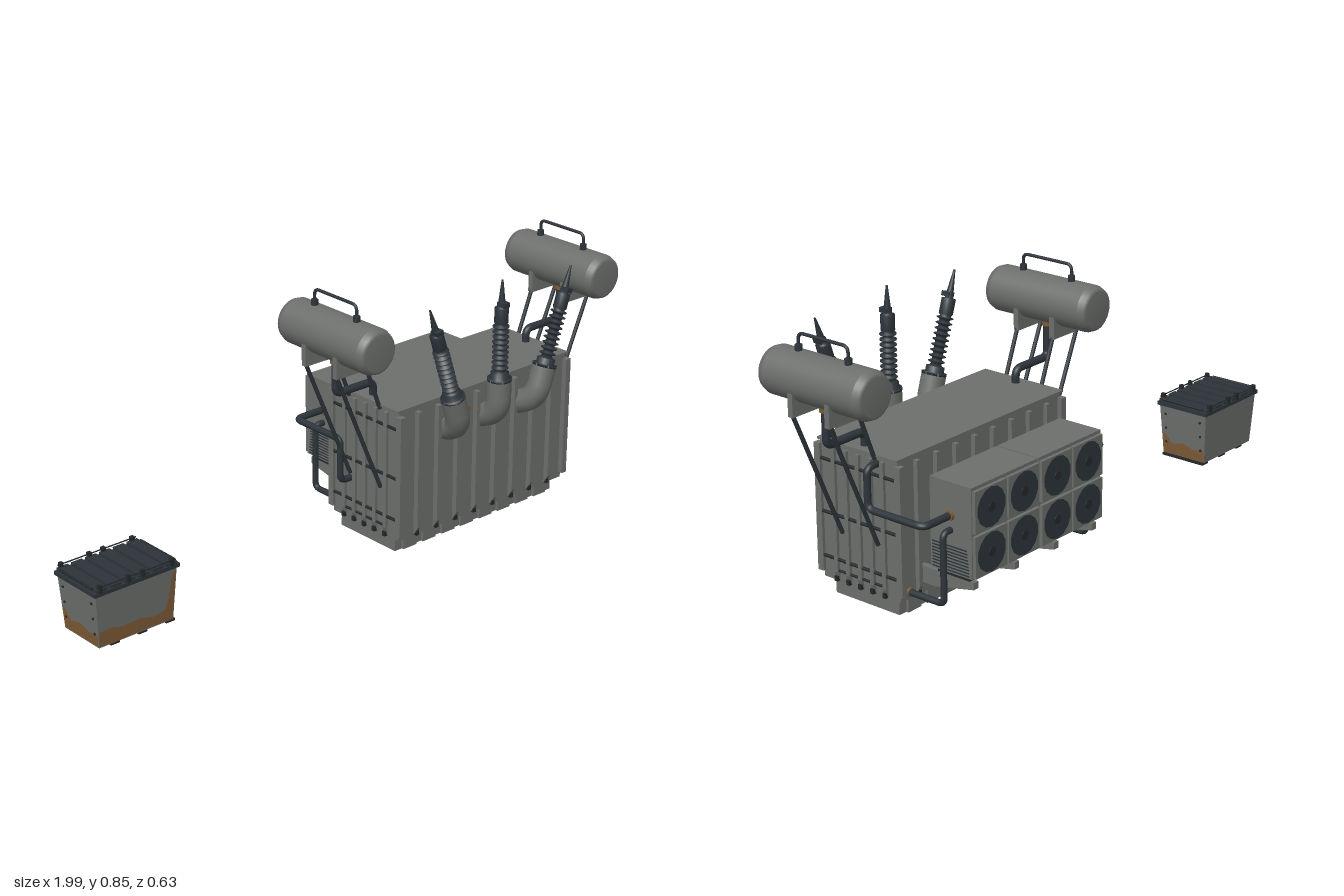
import * as THREE from 'three';

const mat = (name, color) => Object.assign(new THREE.MeshStandardMaterial({ color }), { name });
const V = (x, y, z) => new THREE.Vector3(x, y, z);

export function createModel() {
  const root = new THREE.Group();
  root.name = 'transformerAndCrate';
  const grey = mat('paintedGrey', 0x6c6f6c);
  const dark = mat('darkSteel', 0x2d343a);
  const black = mat('shadowBlack', 0x24282a);
  const rust = mat('rustBrown', 0x7d5a35);
  rust.side = THREE.DoubleSide;

  const add = (name, geo, material, parent = root) => {
    const m = new THREE.Mesh(geo, material);
    m.name = name;
    parent.add(m);
    return m;
  };
  // box given by its minimum and maximum corners
  const box = (name, x0, x1, y0, y1, z0, z1, material, parent) => {
    const g = new THREE.BoxGeometry(x1 - x0, y1 - y0, z1 - z0);
    g.translate((x0 + x1) / 2, (y0 + y1) / 2, (z0 + z1) / 2);
    return add(name, g, material, parent);
  };
  // straight round bar between two points
  const bar = (name, a, b, r, material, parent, r2 = r) => {
    const m = add(name, new THREE.CylinderGeometry(r2, r, a.distanceTo(b), 14), material, parent);
    m.position.copy(a).lerp(b, 0.5);
    m.quaternion.setFromUnitVectors(V(0, 1, 0), b.clone().sub(a).normalize());
    return m;
  };
  // pipe with rounded bends
  const pipe = (name, pts, r, bend, material, parent) => {
    const path = new THREE.CurvePath();
    let from = pts[0];
    for (let i = 1; i < pts.length - 1; i++) {
      const p = pts[i];
      const a = p.clone().add(pts[i - 1].clone().sub(p).setLength(bend));
      const b = p.clone().add(pts[i + 1].clone().sub(p).setLength(bend));
      path.add(new THREE.LineCurve3(from, a));
      path.add(new THREE.QuadraticBezierCurve3(a, p, b));
      from = b;
    }
    path.add(new THREE.LineCurve3(from, pts[pts.length - 1]));
    return add(name, new THREE.TubeGeometry(path, 80, r, 12), material, parent);
  };

  // Tank, lid and plinth
  const CX = 0.432;
  box('tankBody', 0.07, 0.794, 0.05, 0.485, -0.09, 0.21, grey);
  box('tankLid', 0.06, 0.804, 0.483, 0.49, -0.095, 0.213, grey);
  box('plinth', 0.085, 0.779, 0, 0.05, -0.07, 0.18, grey);

  // Wall ribs with a slanted foot and a dark boot
  const rib = (x, z, angle, depth) => {
    const g = new THREE.Group();
    g.name = 'wallRib';
    const geo = new THREE.BoxGeometry(0.014, 0.42, depth);
    const p = geo.attributes.position;
    for (let i = 0; i < p.count; i++) if (p.getY(i) < 0 && p.getZ(i) > 0) p.setY(i, -0.18);
    geo.computeVertexNormals();
    add('ribBar', geo, grey, g).position.set(0, 0.26, depth / 2);
    box('ribBoot', -0.006, 0.006, 0.052, 0.068, 0, 0.012, black, g);
    g.position.set(x, 0, z);
    g.rotation.y = angle;
    root.add(g);
  };
  for (let i = 0; i < 8; i++) {
    const x = CX + (i - 3.5) * 0.083;
    rib(x, 0.21, 0, 0.018);
    rib(x, -0.09, Math.PI, 0.015);
    box('plinthLug', x - 0.028, x + 0.028, 0, 0.045, -0.078, 0.188, grey);
  }
  for (let i = 0; i < 5; i++) {
    const z = 0.155 - i * 0.0475;
    rib(0.794, z, Math.PI / 2, 0.01);
    rib(0.07, z, -Math.PI / 2, 0.01);
  }
  // Corner posts and horizontal stiffener rods on the end walls
  for (const s of [-1, 1]) {
    const x = CX + s * 0.362;
    for (const z of [-0.096, 0.215]) box('cornerPost', x - 0.01, x + 0.01, 0.07, 0.47, z - 0.01, z + 0.012, grey);
    for (const y of [0.12, 0.26, 0.425]) bar('stiffenerRod', V(x + s * 0.004, y, -0.1), V(x + s * 0.004, y, 0.22), 0.005, black);
    bar('lowerRod', V(x + s * 0.004, 0.085, -0.03), V(x + s * 0.004, 0.085, 0.15), 0.004, black);
  }
  box('ratingPlate', 0.34, 0.37, 0.405, 0.422, 0.209, 0.212, rust);

  // Bushings: elbow turret, ribbed insulator and tip
  for (const s of [-1, 0, 1]) {
    const g = new THREE.Group();
    g.name = 'bushing';
    g.position.set(CX + s * 0.155, 0.37, 0);
    g.rotation.z = -s * 0.32;
    root.add(g);
    pipe('turretElbow', [V(0, -0.01, 0.17), V(0, 0.035, 0.272), V(0, 0.15, 0.273)], 0.039, 0.05, grey, g);
    const pts = [[0, 0.142], [0.039, 0.142], [0.039, 0.15], [0.029, 0.15], [0.029, 0.168], [0.02, 0.17]];
    for (let i = 0; i < 9; i++) {
      const y = 0.178 + i * 0.017;
      pts.push([0.016, y], [0.026, y + 0.004], [0.026, y + 0.007], [0.016, y + 0.011]);
    }
    pts.push([0.022, 0.332], [0.022, 0.38], [0.013, 0.382], [0.012, 0.39], [0.003, 0.47], [0, 0.47]);
    const geo = new THREE.LatheGeometry(pts.map(([r, y]) => new THREE.Vector2(r, y)), 18);
    add('insulator', geo, dark, g).position.z = 0.273;
    box('terminalClamp', -0.012, 0.012, 0.385, 0.4, 0.265, 0.296, dark, g);
  }

  // Conservators on struts, one at each end
  for (const s of [-1, 1]) {
    const g = new THREE.Group();
    g.name = 'conservator';
    g.position.x = CX;
    root.add(g);
    const X = (d) => s * d;
    const prof = [[0, -0.196], [0.056, -0.196], [0.066, -0.19], [0.073, -0.172], [0.073, -0.17],
      [0.073, 0.17], [0.073, 0.172], [0.066, 0.19], [0.056, 0.196], [0, 0.196]];
    const drum = add('drum', new THREE.LatheGeometry(prof.map(([r, y]) => new THREE.Vector2(r, y)), 32), grey, g);
    drum.rotation.x = Math.PI / 2;
    drum.position.set(X(0.488), 0.722, 0.06);
    pipe('drumHandle', [V(X(0.488), 0.79, 0.154), V(X(0.488), 0.846, 0.154), V(X(0.488), 0.846, -0.035),
      V(X(0.488), 0.79, -0.035)], 0.005, 0.02, dark, g);
    for (const z of [0.154, -0.035]) bar('handleFoot', V(X(0.488), 0.785, z), V(X(0.488), 0.812, z), 0.011, dark, g);
    for (const z of [0.13, -0.01]) {
      const c = X(0.488);
      box('saddle', c - 0.066, c + 0.066, 0.62, 0.69, z - 0.009, z + 0.009, grey, g);
      bar('longStrut', V(X(0.546), 0.625, z), V(X(0.365), 0.21, z), 0.0065, dark, g);
      bar('shortStrut', V(X(0.428), 0.625, z), V(X(0.37), 0.475, z), 0.0065, dark, g);
    }
    pipe('oilPipe', [V(X(0.488), 0.66, 0.06), V(X(0.488), 0.533, 0.06), V(X(0.335), 0.533, 0.06),
      V(X(0.335), 0.485, 0.06)], 0.0125, 0.025, dark, g);
    bar('oilPipeFlange', V(X(0.488), 0.635, 0.06), V(X(0.488), 0.65, 0.06), 0.017, rust, g);
    // Upper cooler pipe
    const yEnd = s > 0 ? 0.46 : 0.192;
    pipe('coolerPipe', [V(X(0.28), 0.335, -0.222), V(X(0.405), 0.335, -0.222), V(X(0.405), 0.335, -0.012),
      V(X(0.405), yEnd, -0.012), V(X(0.355), yEnd, -0.012)], 0.011, 0.025, dark, g);
    bar('coolerPipeFlange', V(X(0.29), 0.335, -0.222), V(X(0.302), 0.335, -0.222), 0.015, rust, g);
    // Lower return pipe
    pipe('returnPipe', [V(X(0.28), 0.29, -0.222), V(X(0.325), 0.29, -0.222), V(X(0.325), 0.072, -0.222),
      V(X(0.325), 0.072, -0.08)], 0.01, 0.02, dark, g);
    bar('returnPipeFlange', V(X(0.325), 0.072, -0.086), V(X(0.325), 0.072, -0.097), 0.014, rust, g);
  }

  // Cooler: two housings with four fans each
  for (const s of [-1, 1]) {
    const c = CX + s * 0.1475;
    box('coolerHousing', c - 0.145, c + 0.145, 0.157, 0.435, -0.3, -0.146, grey);
    box('coolerUnderside', c - 0.135, c + 0.135, 0.153, 0.157, -0.29, -0.156, black);
    for (let i = 0; i < 9; i++) {
      const x = c + s * 0.1445;
      const y = 0.162 + i * 0.0095;
      box('louvre', x - 0.0015, x + 0.0015, y, y + 0.004, -0.29 + i * 0.001, -0.152, dark);
    }
    for (const dx of [-0.0725, 0.0725]) for (const y of [0.224, 0.361]) {
      box('fanPanel', c + dx - 0.069, c + dx + 0.069, y - 0.064, y + 0.064, -0.311, -0.3, grey);
      bar('fanDisc', V(c + dx, y, -0.309), V(c + dx, y, -0.3125), 0.061, dark);
      bar('fanHub', V(c + dx, y, -0.309), V(c + dx, y, -0.315), 0.014, black);
    }
  }
  // Tapered cooler brackets
  const arm = new THREE.Shape([[0.08, 0.09], [0.15, 0.09], [0.295, 0.12], [0.295, 0.142], [0.08, 0.142]]
    .map(([a, b]) => new THREE.Vector2(a, b)));
  for (const d of [-0.27, -0.09, 0.09, 0.27]) {
    const m = add('coolerBracket', new THREE.ExtrudeGeometry(arm, { depth: 0.02, bevelEnabled: false }), grey);
    m.rotation.y = Math.PI / 2;
    m.position.x = CX + d - 0.01;
    box('bracketPad', CX + d - 0.01, CX + d + 0.01, 0.14, 0.156, -0.28, -0.16, black);
  }

  // Crate with tapered walls
  const crate = new THREE.Group();
  crate.name = 'crate';
  crate.position.x = -0.845;
  root.add(crate);
  const halfX = (y) => 0.133 + (y / 0.185) * 0.012;
  const halfZ = (y) => 0.083 + (y / 0.185) * 0.011;
  const body = new THREE.BoxGeometry(2, 0.178, 2).translate(0, 0.096, 0);
  const bp = body.attributes.position;
  for (let i = 0; i < bp.count; i++) {
    const y = bp.getY(i);
    bp.setXYZ(i, bp.getX(i) * halfX(y), y, bp.getZ(i) * halfZ(y));
  }
  body.computeVertexNormals();
  add('crateBody', body, grey, crate);
  box('crateRim', -0.152, 0.152, 0.18, 0.192, -0.1, 0.1, dark, crate);
  for (let i = 0; i < 6; i++) {
    const x = (i - 2.5) * 0.05;
    box('lidSlat', x - 0.019, x + 0.019, 0.19, 0.201, -0.097, 0.097, dark, crate);
    if (i % 2) box('floorRunner', x - 0.016, x + 0.016, 0, 0.008, -0.082, 0.082, black, crate);
  }
  for (const s of [-1, 1]) {
    for (const x of [-0.13, -0.03, 0.02, 0.125]) box('lidLatch', x - 0.006, x + 0.006, 0.19, 0.214, s * 0.095 - 0.006, s * 0.095 + 0.006, black, crate);
    bar('lidRail', V(-0.14, 0.207, s * 0.096), V(0.14, 0.207, s * 0.096), 0.002, black, crate);
    bar('lidEndRail', V(s * 0.145, 0.2, -0.08), V(s * 0.145, 0.2, 0.08), 0.004, black, crate);
    for (const y of [0.05, 0.1, 0.15]) for (const z of [-1, 1]) {
      bar('cornerRivet', V(s * (halfX(y) - 0.002), y, z * 0.07), V(s * (halfX(y) + 0.003), y, z * 0.07), 0.004, black, crate);
    }
  }
  // Ragged rust patches lying on the sloping walls
  const rustPatch = (points, half, angle) => {
    const geo = new THREE.ShapeGeometry(new THREE.Shape(points.map(([x, y]) => new THREE.Vector2(x, y))));
    const p = geo.attributes.position;
    for (let i = 0; i < p.count; i++) p.setZ(i, half(p.getY(i)) + 0.0012);
    geo.computeVertexNormals();
    add('rustPatch', geo, rust, crate).rotation.y = angle;
  };
  rustPatch([[-0.132, 0.012], [-0.05, 0.008], [0.04, 0.012], [0.131, 0.008], [0.142, 0.17], [0.128, 0.16], [0.118, 0.1],
    [0.105, 0.05], [0.06, 0.042], [0.01, 0.055], [-0.05, 0.05], [-0.09, 0.062], [-0.134, 0.058]], halfZ, 0);
  for (const s of [-1, 1]) {
    rustPatch([[-0.082, 0.01], [0.082, 0.01], [0.084, 0.05], [0.04, 0.045], [0, 0.058], [-0.045, 0.048],
      [-0.07, 0.075], [-0.085, 0.08]], halfX, s * Math.PI / 2);
  }
  return root;
}
